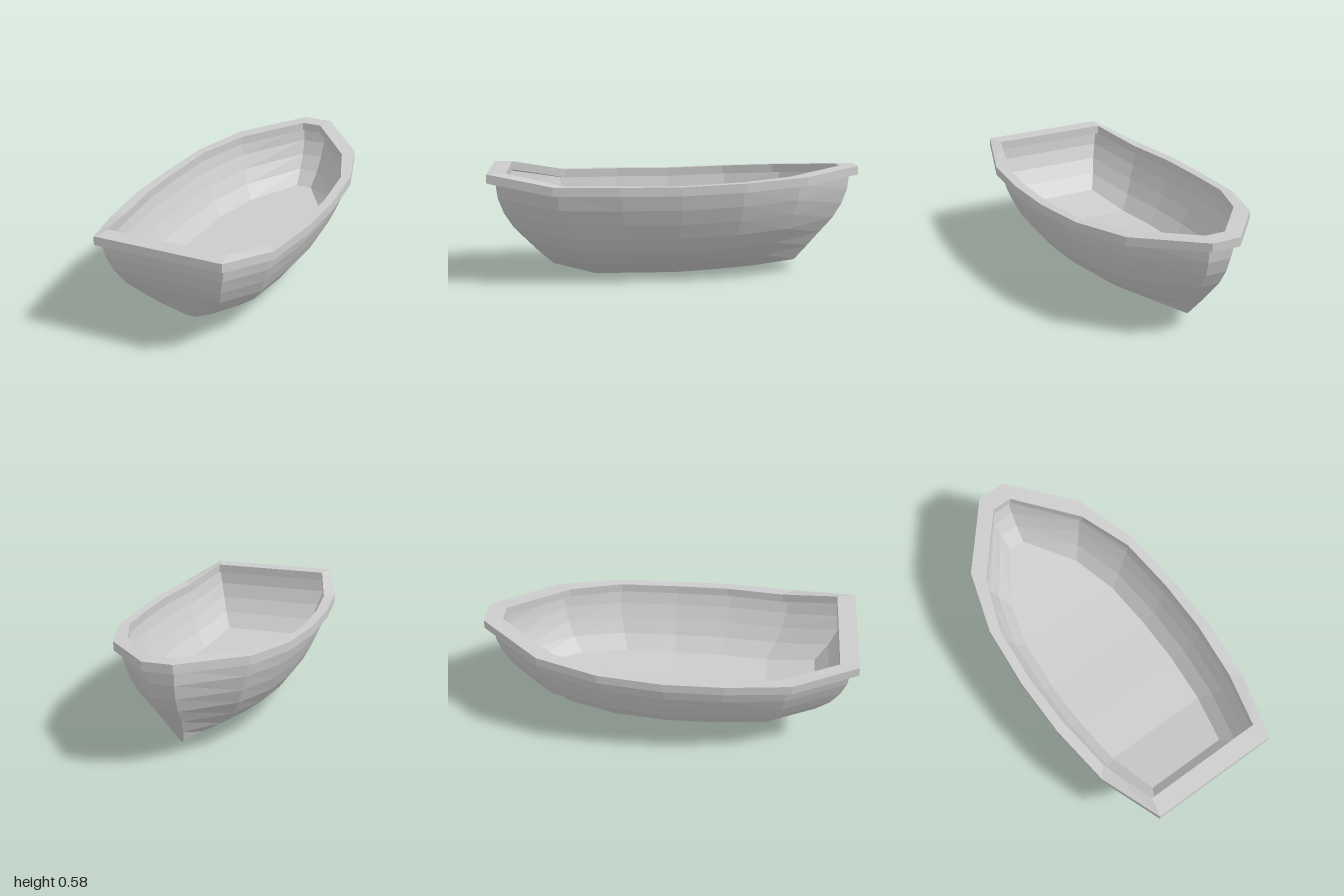
import * as THREE from 'three';

// Half outline of the rim from bow to stern: outer x, outer z, inner x, inner z, top height
const stations = [
  [0.08, -1.0, 0.055, -0.9, 0.585],
  [0.365, -0.67, 0.318, -0.59, 0.557],
  [0.47, -0.34, 0.423, -0.31, 0.54],
  [0.5, 0.0, 0.45, 0.0, 0.527],
  [0.5, 0.32, 0.447, 0.29, 0.527],
  [0.463, 0.66, 0.412, 0.6, 0.527],
  [0.35, 1.0, 0.325, 0.9, 0.585],
];
const rimThickness = 0.047;

// Hull levels from the keel up: width scale, length scale (0.08 apart in height)
const levels = [
  [0.07, 0.7], [0.44, 0.77], [0.67, 0.84], [0.8, 0.915],
  [0.885, 0.965], [0.955, 0.995], [1, 1.005],
];
const levelStep = 0.08;

// Mirrors a half outline into a full closed ring
function ring(pointAt) {
  const half = stations.map(pointAt);
  return [...half, ...half.map(([x, y, z]) => [-x, y, z]).reverse()];
}

// Skins neighbouring rings with quads
function skin(rings, out) {
  for (let j = 0; j + 1 < rings.length; j++) {
    const low = rings[j], high = rings[j + 1], n = low.length;
    for (let i = 0; i < n; i++) {
      const k = (i + 1) % n;
      out.push(low[i], high[i], high[k], low[i], high[k], low[k]);
    }
  }
}

// Fills a ring with crosswise strips, facing up or down
function cap(points, up, out) {
  const n = points.length;
  for (let i = 0; i + 1 < n / 2; i++) {
    const a = points[i], b = points[n - 1 - i], c = points[i + 1], d = points[n - 2 - i];
    if (up) out.push(a, b, d, a, d, c);
    else out.push(a, d, b, a, c, d);
  }
}

function makeMesh(name, points, material) {
  const geometry = new THREE.BufferGeometry();
  geometry.setAttribute('position', new THREE.Float32BufferAttribute(points.flat(), 3));
  geometry.computeVertexNormals();
  const mesh = new THREE.Mesh(geometry, material);
  mesh.name = name;
  return mesh;
}

export function createModel() {
  const boat = new THREE.Group();
  boat.name = 'rowingBoat';
  const material = new THREE.MeshStandardMaterial({
    color: 0xcccccc, flatShading: true, side: THREE.DoubleSide,
  });

  // Thin hull, each level a scaled copy of the line under the middle of the rim
  const hullRings = levels.map(([sx, sz], j) => ring(([ox, oz, ix, iz, y]) => [
    sx * (ox + ix) / 2,
    y - rimThickness - levelStep * (levels.length - 1 - j),
    sz * (oz + iz) / 2,
  ]));
  const hull = [];
  skin(hullRings, hull);
  cap(hullRings[0], false, hull);
  boat.add(makeMesh('hull', hull, material));

  // Floor set on the third level of the hull
  const floor = [];
  cap(hullRings[2], true, floor);
  boat.add(makeMesh('floor', floor, material));

  // Rim with a rectangular section running all the way round
  const outer = (drop) => ring(([ox, oz, , , y]) => [ox, y - drop, oz]);
  const inner = (drop) => ring(([, , ix, iz, y]) => [ix, y - drop, iz]);
  const rim = [];
  skin([outer(rimThickness), outer(0), inner(0), inner(rimThickness), outer(rimThickness)], rim);
  boat.add(makeMesh('rim', rim, material));

  return boat;
}
